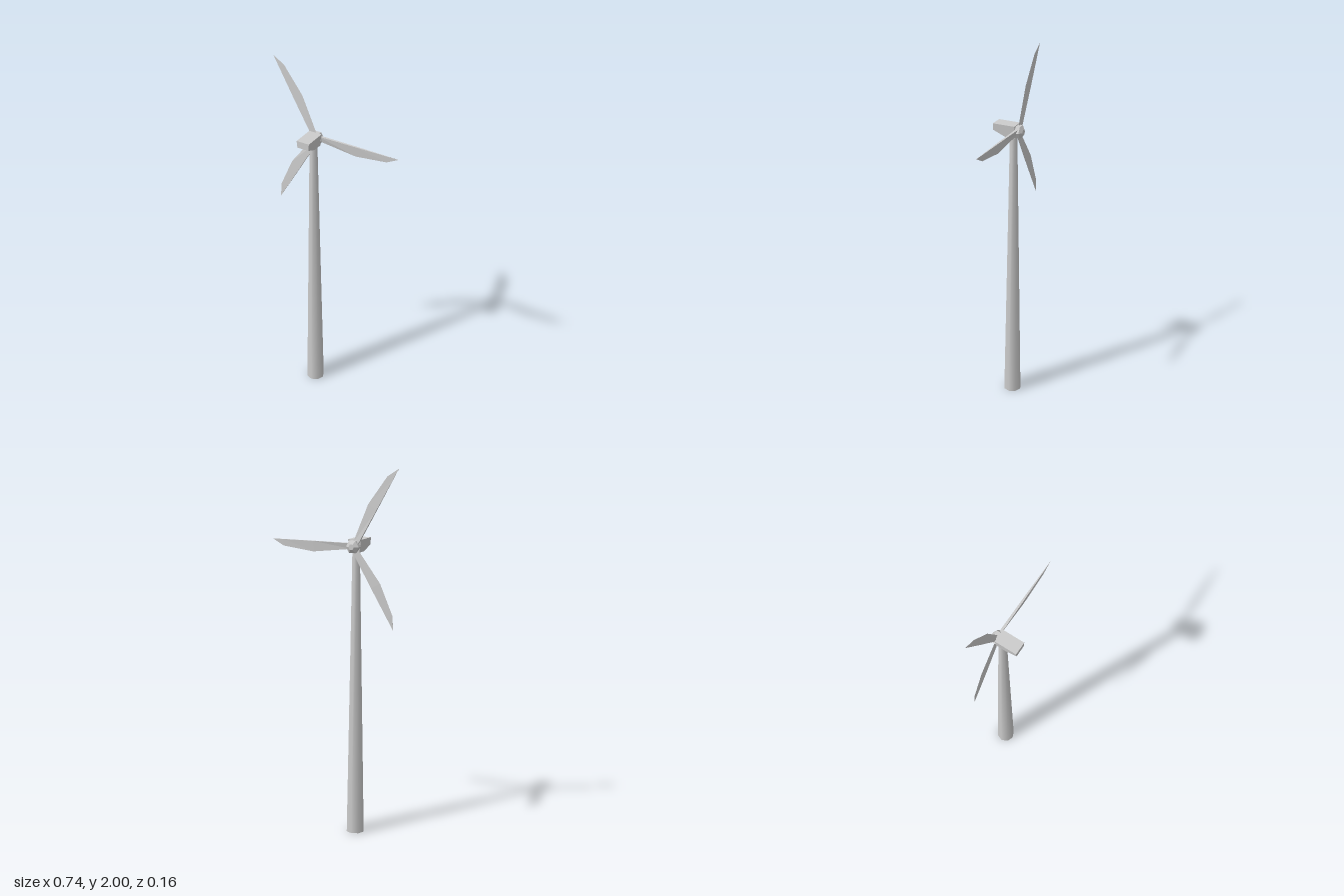
import * as THREE from 'three';

// Faceted look: every face gets its own normal
function faceted(geometry) {
  const g = geometry.index ? geometry.toNonIndexed() : geometry;
  g.computeVertexNormals();
  return g;
}

// Blade pointing along +x: wedge section, thick straight edge on top, thin edge below
function bladeGeometry() {
  // distance, top edge, bottom edge, half thickness
  const stations = [
    [0.012, 0.017, -0.013, 0.007],
    [0.237, 0.016, -0.041, 0.005],
    [0.417, 0.0145, -0.021, 0.002],
    [0.484, 0.014, 0.0135, 0.0005],
  ];
  const rings = stations.map(([x, top, low, t]) => [[x, top, t], [x, top, -t], [x, low, 0]]);
  const pos = [];
  for (let s = 0; s < rings.length - 1; s++) {
    for (let j = 0; j < 3; j++) {
      const k = (j + 1) % 3;
      const [a, b, c, d] = [rings[s][j], rings[s + 1][j], rings[s][k], rings[s + 1][k]];
      pos.push(...a, ...b, ...c, ...c, ...b, ...d);
    }
  }
  const g = new THREE.BufferGeometry();
  g.setAttribute('position', new THREE.Float32BufferAttribute(pos, 3));
  return faceted(g);
}

// Housing: side profile extruded across x, narrowing towards the underside
function nacelleGeometry() {
  const shape = new THREE.Shape([
    [-0.045, 1.553], [0.013, 1.553], [0.08, 1.582], [0.08, 1.62], [-0.045, 1.62],
  ].map(([z, y]) => new THREE.Vector2(z, y)));
  const g = new THREE.ExtrudeGeometry(shape, { depth: 0.074, bevelEnabled: false });
  g.translate(0, 0, -0.037).rotateY(-Math.PI / 2);
  const p = g.attributes.position;
  for (let i = 0; i < p.count; i++) {
    const drop = (1.62 - p.getY(i)) / 0.067;
    p.setX(i, p.getX(i) * (1 - 0.2 * drop));
  }
  return faceted(g);
}

export function createModel() {
  const model = new THREE.Group();
  model.name = 'windTurbine';
  const grey = new THREE.MeshStandardMaterial({ color: 0xcccccc, side: THREE.DoubleSide });
  grey.name = 'light grey';
  const yaw = -0.022;

  const add = (parent, name, geometry) => {
    const mesh = new THREE.Mesh(geometry, grey);
    mesh.name = name;
    parent.add(mesh);
    return mesh;
  };

  // Tapered eight-sided tower, open at the bottom
  const tower = add(model, 'tower', new THREE.CylinderGeometry(0.021, 0.05, 1.57, 8, 1, true));
  tower.position.set(-0.118, 0.785, -0.024);

  // Housing on top of the tower
  const nacelle = add(model, 'nacelle', nacelleGeometry());
  nacelle.position.x = -0.1185;
  nacelle.rotation.y = yaw;

  // Rotor on the -z side
  const rotor = new THREE.Group();
  rotor.name = 'rotor';
  rotor.position.set(-0.1165, 1.584, -0.053);
  rotor.rotation.y = yaw;
  model.add(rotor);

  // Six-sided hub with a blunt nose
  const profile = [[0, -0.012], [0.037, -0.012], [0.037, 0.016], [0.016, 0.03], [0, 0.03]]
    .map(([r, y]) => new THREE.Vector2(r, y));
  const hub = new THREE.LatheGeometry(profile, 6, Math.PI / 6);
  hub.rotateX(-Math.PI / 2);
  add(rotor, 'hub', faceted(hub));

  // Three blades
  const blade = bladeGeometry();
  for (let i = 0; i < 3; i++) {
    add(rotor, 'blade' + (i + 1), blade).rotation.z = (i * Math.PI * 2) / 3;
  }
  return model;
}
